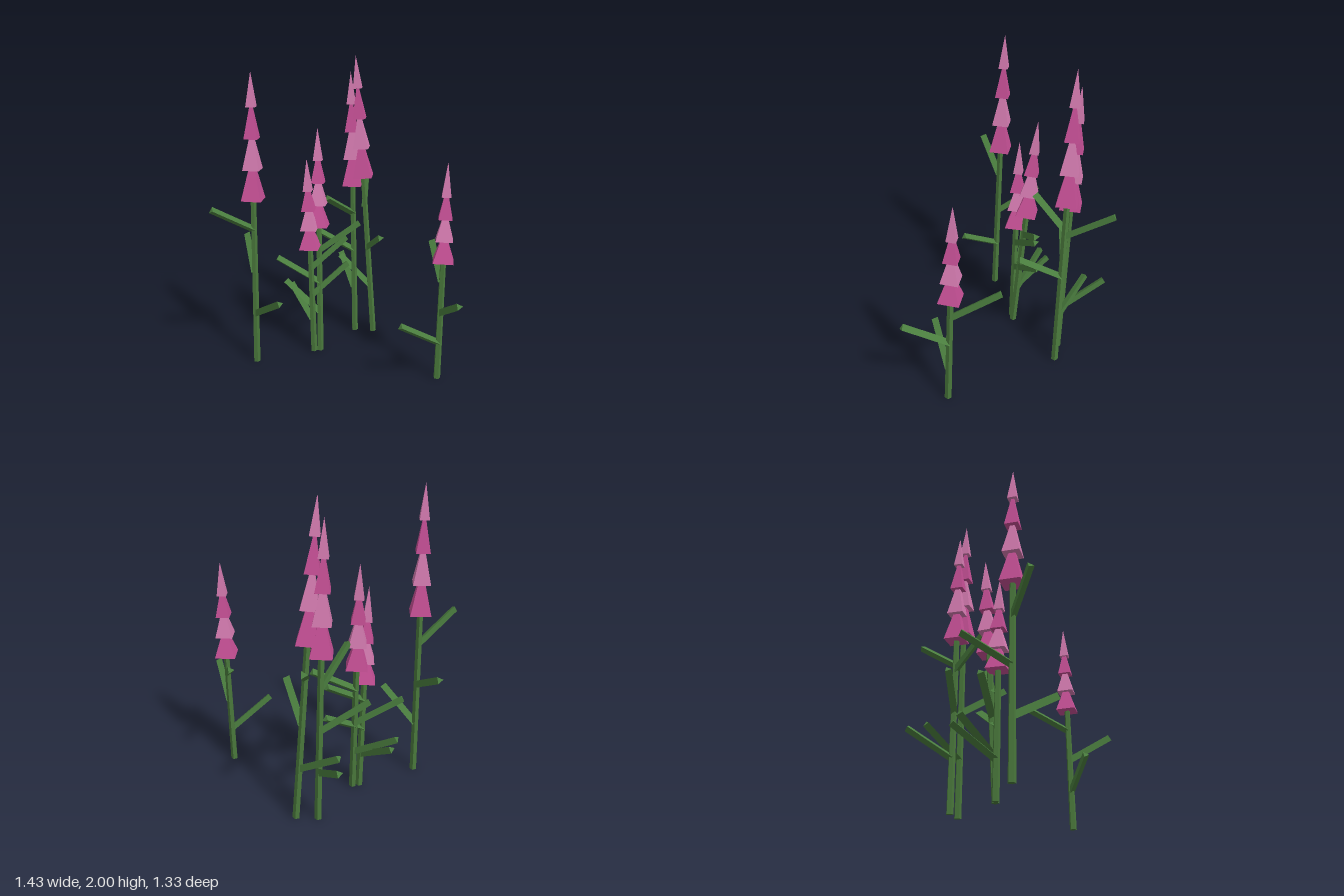
import * as THREE from 'three';

const stemGreen = new THREE.MeshStandardMaterial({ name: 'stem green', color: 0x4a793c, flatShading: true });
const leafGreen = new THREE.MeshStandardMaterial({ name: 'leaf green', color: 0x4a7d3e, flatShading: true });
const deepPink = new THREE.MeshStandardMaterial({ name: 'deep pink', color: 0xc65096, flatShading: true });
const lightPink = new THREE.MeshStandardMaterial({ name: 'light pink', color: 0xd47bb0, flatShading: true });

const UP = new THREE.Vector3(0, 1, 0);

// Each plant: stem foot, spike tip, height where the blossoms begin, and leaf tips from low to high
const PLANTS = [
  { foot: [0.463, 0, -0.42], tip: [0.43, 1.44, -0.465], bloom: 0.81,
    leaves: [[0.39, 0.42, -0.155], [0.71, 0.63, -0.33], [0.195, 0.84, -0.59]] },
  { foot: [-0.44, 0, 0.405], tip: [-0.45, 1.95, 0.36], bloom: 1.147,
    leaves: [[-0.155, 0.525, 0.385], [-0.705, 0.82, 0.285], [-0.49, 1.115, 0.655]] },
  { foot: [-0.31, 0, -0.51], tip: [-0.4, 2, -0.405], bloom: 1.18,
    leaves: [[-0.59, 0.53, -0.42], [-0.08, 0.825, -0.375], [-0.565, 1.13, -0.65]] },
  { foot: [-0.405, 0, -0.415], tip: [-0.445, 1.89, -0.4], bloom: 1.115,
    leaves: [[-0.68, 0.51, -0.5], [-0.575, 0.8, -0.175], [-0.36, 1.08, -0.14]] },
  { foot: [-0.325, 0, 0.01], tip: [-0.35, 1.38, 0.03], bloom: 0.77,
    leaves: [[-0.605, 0.41, 0.0], [-0.31, 0.6, -0.27], [-0.3, 0.8, -0.25]] },
  { foot: [-0.305, 0, -0.03], tip: [-0.395, 1.56, -0.09], bloom: 0.9,
    leaves: [[-0.59, 0.45, 0.06], [-0.525, 0.67, 0.165], [-0.245, 0.905, -0.32]] },
];

// Blossom cones from the bottom up
const CONES = [
  { radius: 0.09, height: 0.3 },
  { radius: 0.075, height: 0.27 },
  { radius: 0.06, height: 0.25 },
  { radius: 0.041 },
];

// Three-sided leaf, one edge turned to its left side
function makeLeaf(from, to) {
  const dir = to.clone().sub(from);
  const length = dir.length();
  dir.normalize();
  const side = new THREE.Vector3().crossVectors(UP, dir).normalize();
  const across = new THREE.Vector3().crossVectors(dir, side);
  const leaf = new THREE.Mesh(new THREE.CylinderGeometry(0.025, 0.025, length, 3), leafGreen);
  leaf.quaternion.setFromRotationMatrix(new THREE.Matrix4().makeBasis(across, dir, side));
  leaf.position.copy(from).add(to).multiplyScalar(0.5);
  leaf.name = 'leaf';
  return leaf;
}

function makePlant({ foot, tip, bloom, leaves }) {
  const plant = new THREE.Group();
  plant.name = 'flowerPlant';
  const base = new THREE.Vector3(...foot);
  const top = new THREE.Vector3(...tip);
  const at = (y) => base.clone().lerp(top, y / top.y);
  const lean = new THREE.Quaternion().setFromUnitVectors(UP, top.clone().sub(base).normalize());

  // Stem, ending just inside the lowest blossom
  const stemTop = bloom + 0.05;
  const stem = new THREE.Mesh(new THREE.CylinderGeometry(0.019, 0.023, stemTop, 5), stemGreen);
  stem.position.copy(at(stemTop / 2));
  stem.quaternion.copy(lean);
  stem.name = 'stem';
  plant.add(stem);

  // Leaves rise outward from the stem
  for (const end of leaves) plant.add(makeLeaf(at(end[1] - 0.17), new THREE.Vector3(...end)));

  // Spike of stacked four-sided blossoms
  const span = top.y - bloom;
  const step = (span - 0.215) / 3;
  CONES.forEach(({ radius, height }, i) => {
    const y = bloom + i * step;
    const h = height ? Math.min(height, step * 1.5) : top.y - y;
    const cone = new THREE.Mesh(new THREE.ConeGeometry(radius, h, 4), i % 2 ? lightPink : deepPink);
    cone.position.copy(at(y + h / 2));
    cone.quaternion.copy(lean);
    cone.name = 'blossom';
    plant.add(cone);
  });
  return plant;
}

export function createModel() {
  const model = new THREE.Group();
  model.name = 'flowerCluster';
  for (const spec of PLANTS) model.add(makePlant(spec));
  return model;
}
